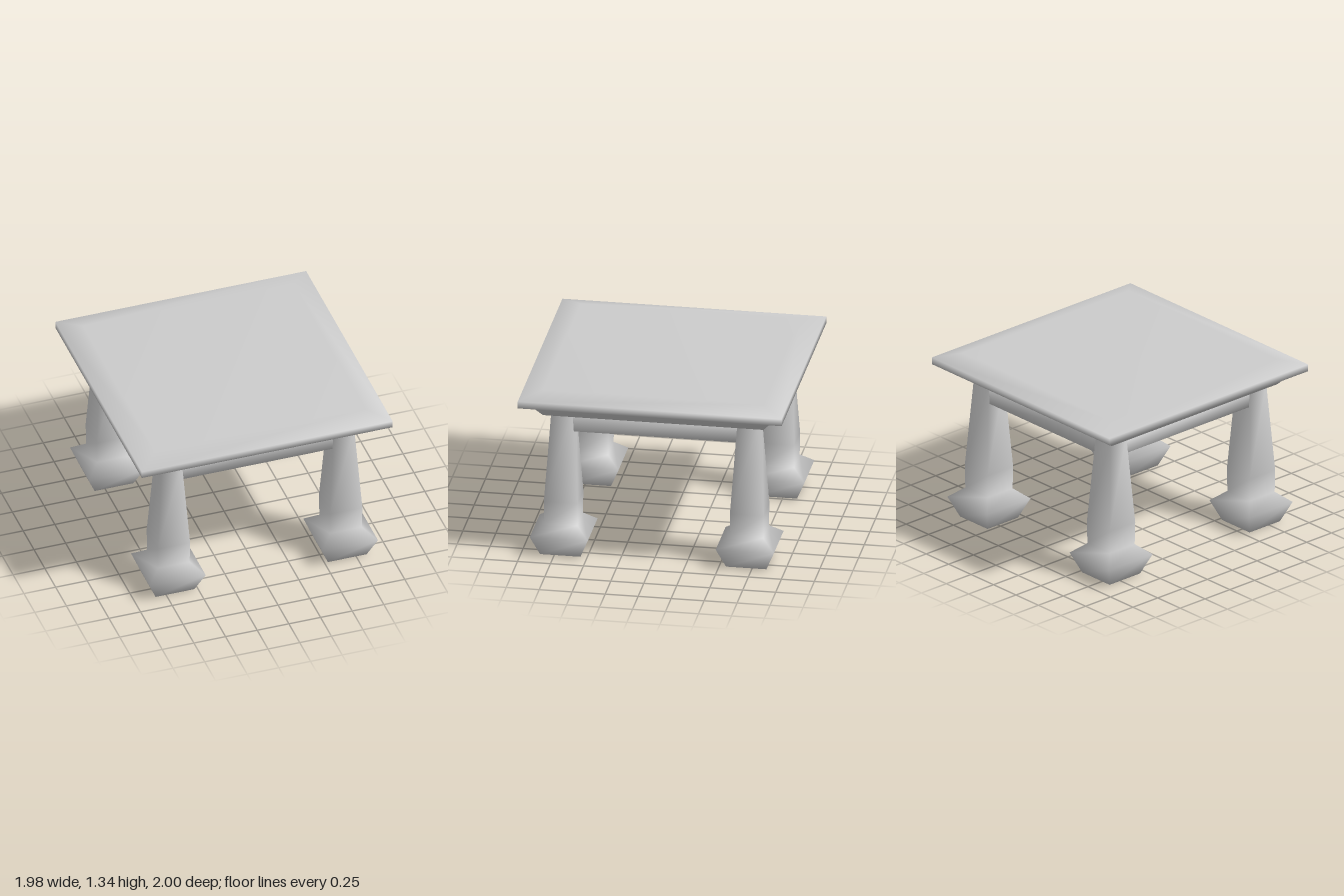
import * as THREE from 'three';

const material = new THREE.MeshStandardMaterial({ color: 0xcccccc });

// Smooth-shaded solid from rectangular rings [y, halfX, halfZ], bottom to top.
function loft(name, rings) {
  const positions = [];
  const index = [];
  const corners = [[-1, 1], [1, 1], [1, -1], [-1, -1]];
  for (const [y, hx, hz] of rings) {
    for (const [sx, sz] of corners) positions.push(sx * hx, y, sz * hz);
  }
  for (let k = 0; k < rings.length - 1; k++) {
    for (let i = 0; i < 4; i++) {
      const a = k * 4 + i;
      const b = k * 4 + (i + 1) % 4;
      index.push(a, b, b + 4, a, b + 4, a + 4);
    }
  }
  const t = (rings.length - 1) * 4;
  index.push(0, 2, 1, 0, 3, 2, t, t + 1, t + 2, t, t + 2, t + 3);

  const geometry = new THREE.BufferGeometry();
  geometry.setAttribute('position', new THREE.Float32BufferAttribute(positions, 3));
  geometry.setIndex(index);
  geometry.computeVertexNormals();
  const mesh = new THREE.Mesh(geometry, material);
  mesh.name = name;
  return mesh;
}

export function createModel() {
  const model = new THREE.Group();
  model.name = 'table';
  const legX = 0.68;
  const legZ = 0.705;

  // Square top with a moulded edge
  model.add(loft('tableTop', [
    [1.13, 0.83, 0.835],
    [1.2, 0.89, 0.89],
    [1.24, 0.99, 1],
    [1.295, 0.99, 1],
    [1.335, 0.83, 0.835],
  ]));

  // Tapered square legs on flared feet
  const legProfile = [[0, 0.153], [0.16, 0.22], [0.24, 0.125], [0.42, 0.128], [1.13, 0.08]];
  for (const sx of [-1, 1]) {
    for (const sz of [-1, 1]) {
      const name = (sz > 0 ? 'front' : 'back') + (sx > 0 ? 'Left' : 'Right') + 'Leg';
      const leg = loft(name, legProfile.map(([y, h]) => [y, h, h]));
      leg.position.set(sx * legX, 0, sz * legZ);
      model.add(leg);
    }
  }

  // Apron rails between the legs
  const rail = (name, hx, hz, x, z) => {
    const mesh = loft(name, [[0.982, hx, hz], [1.132, hx, hz]]);
    mesh.position.set(x, 0, z);
    model.add(mesh);
  };
  for (const s of [-1, 1]) {
    rail(s > 0 ? 'frontRail' : 'backRail', 0.605, 0.075, 0, s * legZ);
    rail(s > 0 ? 'leftRail' : 'rightRail', 0.075, 0.63, s * legX, 0);
  }
  return model;
}
